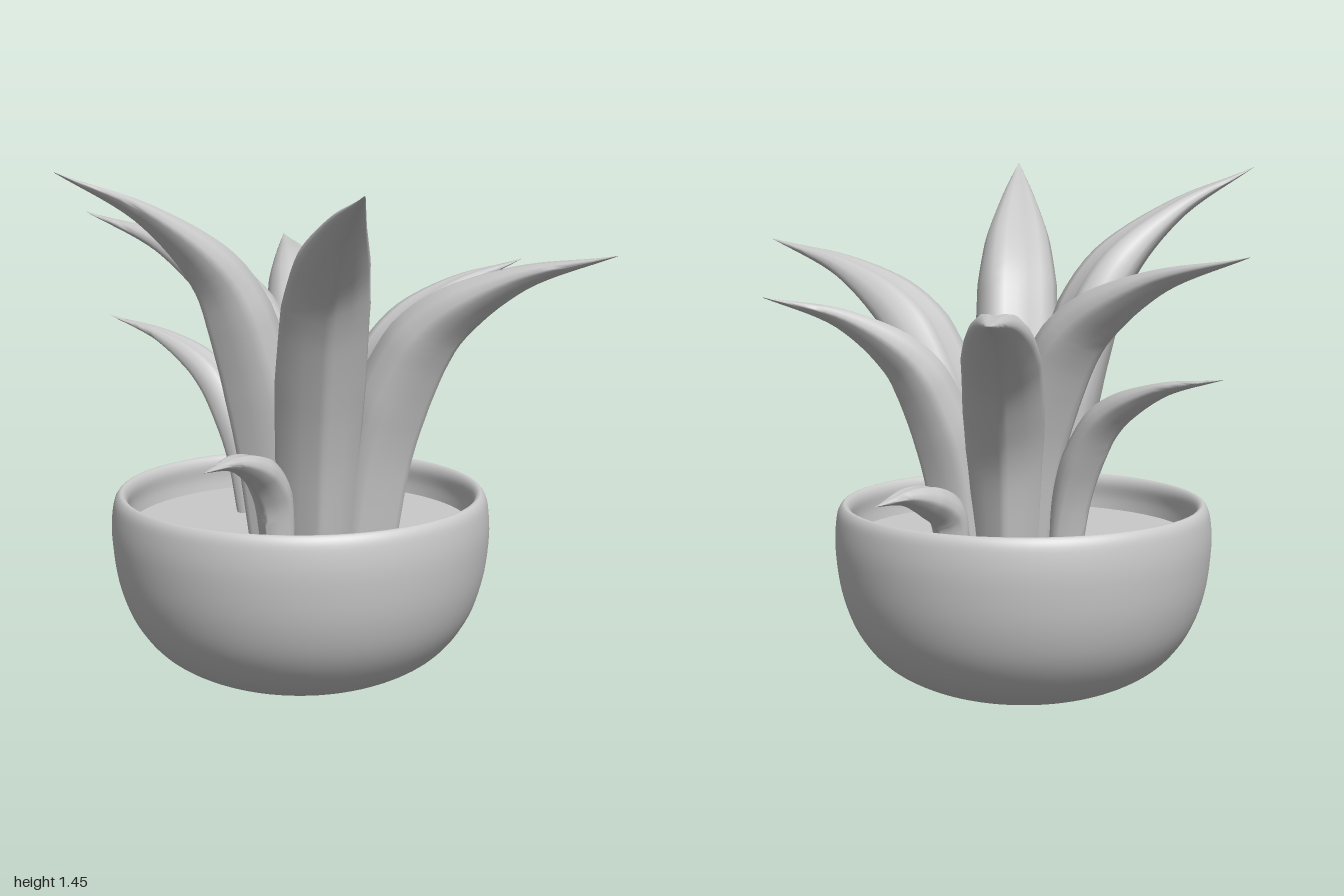
import * as THREE from 'three';
import { toCreasedNormals } from 'three/addons/utils/BufferGeometryUtils.js';

const SOIL_Y = 0.43;

// Half of the plump leaf section, from the outer keel round the side to the inner groove
const HALF = [
  [0, -0.8], [0.12, -0.74], [0.5, -0.46], [0.92, -0.08], [1, 0.12],
  [0.88, 0.4], [0.6, 0.63], [0.3, 0.64], [0, 0.56],
];
const SECTION = [...HALF, ...HALF.slice(1, -1).reverse().map(([s, n]) => [-s, n])];

// Leaf width along its length, as a share of the greatest half width
const WIDTH = [[0, 0.86], [0.33, 1], [0.5, 0.95], [0.62, 0.78], [0.78, 0.43], [1, 0.012]];

function widthAt(t) {
  let i = 1;
  while (i < WIDTH.length - 1 && t > WIDTH[i][0]) i++;
  const [t0, w0] = WIDTH[i - 1], [t1, w1] = WIDTH[i];
  return THREE.MathUtils.lerp(w0, w1, (t - t0) / (t1 - t0));
}

// A keeled, channelled leaf rising from base [x, z] and arching out to tip [x, y, z]
function leafGeometry(base, tip, half, bend) {
  const y0 = SOIL_Y - 0.02;
  const out = new THREE.Vector3(tip[0] - base[0], 0, tip[2] - base[1]);
  const rise = tip[1] - y0;
  const side = out.clone().normalize().cross(new THREE.Vector3(0, 1, 0));
  const path = [
    [0, 0], [0.07, 0.28 + 0.1 * bend], [0.16, 0.5 + 0.08 * bend],
    [0.3, 0.71 + 0.05 * bend], [0.6, 0.88 + 0.05 * bend], [1, 1],
  ].map(([u, v]) => new THREE.Vector3(base[0] + out.x * u, y0 + rise * v, base[1] + out.z * u));
  const spine = new THREE.CatmullRomCurve3(path);

  const rows = 36, n = SECTION.length, pos = [], index = [];
  for (let i = 0; i <= rows; i++) {
    const t = i / rows;
    const p = spine.getPointAt(t);
    const normal = side.clone().cross(spine.getTangentAt(t)).normalize();
    const w = half * widthAt(t);
    const depth = w * (1 - 0.35 * t);
    // The inner face swells where the leaf bends
    const swell = 1 + 0.75 * Math.sin(Math.PI * t ** 0.8);
    for (const [s, d] of SECTION) {
      const q = p.clone().addScaledVector(side, s * w)
        .addScaledVector(normal, d * depth * (d > 0 ? swell : 1));
      pos.push(q.x, q.y, q.z);
    }
  }
  for (let i = 0; i < rows; i++) {
    for (let j = 0; j < n; j++) {
      const a = i * n + j, b = i * n + (j + 1) % n;
      index.push(a, a + n, b, b, a + n, b + n);
    }
  }
  const geo = new THREE.BufferGeometry();
  geo.setAttribute('position', new THREE.Float32BufferAttribute(pos, 3));
  geo.setIndex(index);
  return toCreasedNormals(geo, 1.3);
}

export function createModel() {
  const grey = new THREE.MeshStandardMaterial({ color: 0xcacaca });
  grey.name = 'plain grey';
  const model = new THREE.Group();
  model.name = 'pottedPlant';
  const add = (name, geometry, parent = model) => {
    const mesh = new THREE.Mesh(geometry, grey);
    mesh.name = name;
    parent.add(mesh);
    return mesh;
  };

  // Rounded bowl with a rolled rim and an inner wall
  const profile = new THREE.SplineCurve([
    [0, 0], [0.17, 0.003], [0.28, 0.025], [0.39, 0.085], [0.465, 0.175], [0.507, 0.285], [0.524, 0.41],
    [0.519, 0.495], [0.505, 0.527], [0.49, 0.527], [0.48, 0.505], [0.482, 0.46], [0.475, 0.40],
  ].map(([r, y]) => new THREE.Vector2(r, y)));
  const pot = add('pot', new THREE.LatheGeometry(profile.getPoints(60), 64));
  pot.position.set(-0.07, 0, 0.015);

  // Flat soil inside the bowl
  const soil = add('soil', new THREE.CircleGeometry(0.482, 64).rotateX(-Math.PI / 2));
  soil.position.set(-0.07, SOIL_Y, 0.015);

  // Leaves: name, base [x, z], tip [x, y, z], half width, bend
  const leaves = new THREE.Group();
  leaves.name = 'leaves';
  model.add(leaves);
  [
    ['frontLeaf', [-0.04, 0.18], [0.005, 1.44, 1.0], 0.122, 0],
    ['backLeaf', [-0.03, -0.12], [-0.05, 1.125, -1.0], 0.11, 1],
    ['frontRightLeaf', [-0.145, 0.11], [-0.71, 1.445, 0.39], 0.115, 0],
    ['backRightLeaf', [-0.08, -0.07], [-0.66, 1.25, -0.52], 0.11, 0.4],
    ['frontLeftLeaf', [0.11, 0.115], [0.705, 1.23, 0.46], 0.118, 0.4],
    ['backLeftLeaf', [0.1, -0.085], [0.595, 1.125, -0.31], 0.098, 0.5],
    ['smallFrontLeaf', [-0.15, 0.22], [-0.35, 0.7, 0.52], 0.058, 1.8],
    ['smallBackLeaf', [0.11, -0.22], [0.28, 0.605, -0.485], 0.058, 2.6],
    ['smallSideLeaf', [-0.2, -0.17], [-0.6, 0.945, -0.515], 0.064, 0.5],
  ].forEach(([name, ...shape]) => add(name, leafGeometry(...shape), leaves));

  return model;
}
